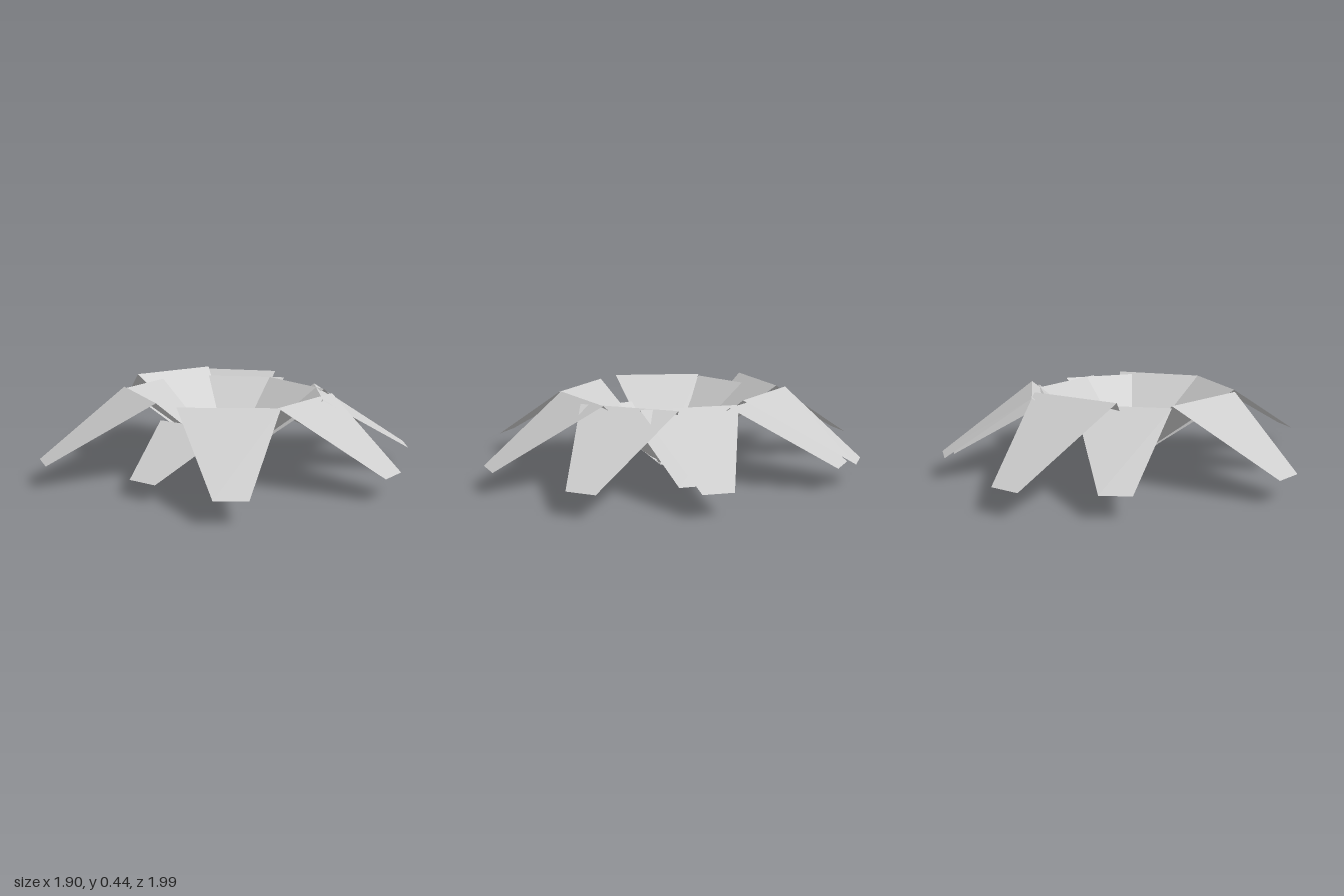
import * as THREE from 'three';

// Each leaf: ridge ends (x, z), tip ends (x, z), ridge height, tip height
const LEAVES = [
  { ridge: [-0.21, -0.48, 0.28, -0.48], tip: [-0.05, -1.0, 0.10, -1.0], ridgeY: 0.435, tipY: 0.12 },
  { ridge: [0.24, -0.55, 0.55, -0.18], tip: [0.62, -0.78, 0.73, -0.69], ridgeY: 0.42, tipY: 0.115 },
  { ridge: [0.21, -0.46, 0.56, -0.11], tip: [0.65, -0.69, 0.755, -0.58], ridgeY: 0.39, tipY: 0.11 },
  { ridge: [0.50, -0.18, 0.48, 0.30], tip: [0.95, 0.02, 0.94, 0.16], ridgeY: 0.39, tipY: 0.11 },
  { ridge: [0.56, 0.14, 0.25, 0.53], tip: [0.81, 0.58, 0.72, 0.69], ridgeY: 0.39, tipY: 0.11 },
  { ridge: [0.39, 0.45, -0.08, 0.57], tip: [0.34, 0.96, 0.20, 0.99], ridgeY: 0.40, tipY: 0.11 },
  { ridge: [-0.07, 0.58, -0.45, 0.28], tip: [-0.48, 0.86, -0.60, 0.77], ridgeY: 0.40, tipY: 0.11 },
  { ridge: [-0.50, 0.18, -0.40, -0.30], tip: [-0.95, -0.09, -0.92, -0.23], ridgeY: 0.41, tipY: 0.115 },
  { ridge: [-0.40, -0.30, 0.03, -0.48], tip: [-0.47, -0.75, -0.34, -0.82], ridgeY: 0.40, tipY: 0.11 },
  // short lower leaves
  { ridge: [-0.23, 0.40, -0.37, 0.01], tip: [-0.63, 0.37, -0.68, 0.23], ridgeY: 0.28, tipY: 0.08 },
  { ridge: [0.36, -0.16, 0.35, 0.27], tip: [0.70, 0.03, 0.695, 0.18], ridgeY: 0.265, tipY: 0.07 },
];

const CENTRE = new THREE.Vector2(0.04, 0.04);
const BASE_HALF_WIDTH = 0.035;

// Folded strip: narrow base, wide ridge, narrower drooping tip
function leafGeometry({ ridge, tip, ridgeY, tipY }) {
  const across = new THREE.Vector2(ridge[2] - ridge[0], ridge[3] - ridge[1]).setLength(BASE_HALF_WIDTH);
  const rows = [
    [CENTRE.x - across.x, 0, CENTRE.y - across.y, CENTRE.x + across.x, 0, CENTRE.y + across.y],
    [ridge[0], ridgeY, ridge[1], ridge[2], ridgeY, ridge[3]],
    [tip[0], tipY, tip[1], tip[2], tipY, tip[3]],
  ];
  const geometry = new THREE.BufferGeometry();
  geometry.setAttribute('position', new THREE.Float32BufferAttribute(rows.flat(), 3));
  const index = [];
  for (let i = 0; i < rows.length - 1; i++) {
    const a = i * 2;
    index.push(a, a + 1, a + 3, a, a + 3, a + 2);
  }
  geometry.setIndex(index);
  const flat = geometry.toNonIndexed();
  flat.computeVertexNormals();
  return flat;
}

export function createModel() {
  const group = new THREE.Group();
  group.name = 'leafyPlant';
  const leafGrey = new THREE.MeshStandardMaterial({
    name: 'leafGrey', color: 0xcccccc, flatShading: true, side: THREE.DoubleSide,
  });
  LEAVES.forEach((leaf, i) => {
    const mesh = new THREE.Mesh(leafGeometry(leaf), leafGrey);
    mesh.name = `leaf${i + 1}`;
    group.add(mesh);
  });
  return group;
}
